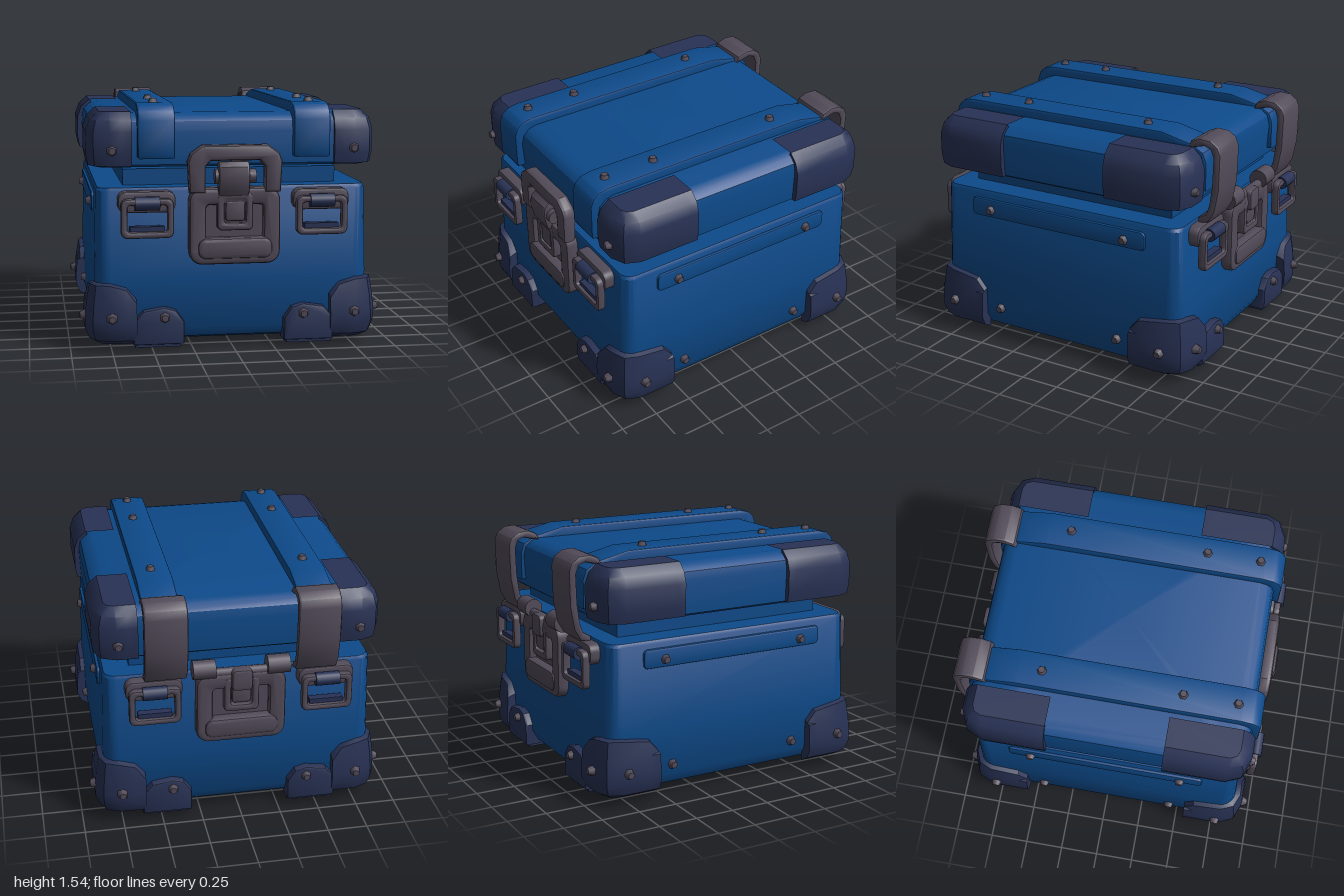
import * as THREE from 'three';
import { toCreasedNormals } from 'three/addons/utils/BufferGeometryUtils.js';

const paint = (name, color) => Object.assign(new THREE.MeshStandardMaterial({ color }), { name });

export function createModel() {
  const blue = paint('blue shell', 0x0d4a8a);
  const navy = paint('navy guards', 0x283255);
  const metal = paint('grey metal', 0x524b59);
  const model = new THREE.Group();
  model.name = 'strongbox';

  function add(name, geo, mat, x = 0, y = 0, z = 0, parent = model) {
    const m = new THREE.Mesh(geo, mat);
    m.name = name;
    m.position.set(x, y, z);
    parent.add(m);
    return m;
  }

  // Surface through a grid of points
  function grid(rows, flip) {
    const n = rows[0].length, index = [];
    for (let u = 0; u < rows.length - 1; u++) {
      for (let v = 0; v < n - 1; v++) {
        const a = u * n + v, b = a + 1, c = a + n, d = c + 1;
        index.push(...(flip ? [a, c, b, b, c, d] : [a, b, c, b, d, c]));
      }
    }
    const g = new THREE.BufferGeometry();
    g.setAttribute('position', new THREE.Float32BufferAttribute(rows.flat(2), 3));
    g.setIndex(index);
    return toCreasedNormals(g, 0.6);
  }

  // Stack of rounded rectangles [y, half width, half depth, corner radius], capped
  function loft(rings) {
    const rows = rings.map(([y, hx, hz, r]) => {
      const row = [];
      for (let q = 0; q < 4; q++) {
        const sx = q === 0 || q === 3 ? 1 : -1, sz = q < 2 ? 1 : -1;
        for (let k = 0; k <= 5; k++) {
          const a = (q + k / 5) * Math.PI / 2;
          row.push([sx * (hx - r) + r * Math.cos(a), y, sz * (hz - r) + r * Math.sin(a)]);
        }
      }
      row.push(row[0]);
      return row;
    });
    const cap = y => rows[0].map(() => [0, y, 0]);
    return grid([cap(rings[0][0]), ...rows, cap(rings.at(-1)[0])], true);
  }

  // Bevelled extrusion, centred on its depth
  function slab(shape, depth, bevel = 0.015) {
    const g = new THREE.ExtrudeGeometry(shape, {
      depth: depth - 2 * bevel, bevelEnabled: true, bevelThickness: bevel,
      bevelSize: bevel, bevelOffset: -bevel, bevelSegments: 2, curveSegments: 5,
    });
    g.translate(0, 0, -(depth - 2 * bevel) / 2);
    return toCreasedNormals(g, 0.6);
  }
  const poly = pts => new THREE.Shape(pts.map(p => new THREE.Vector2(...p)));
  // Side profile of [z, y] points, extruded along x
  const across = (pts, width, bevel) =>
    slab(poly(pts.map(([z, y]) => [-z, y])), width, bevel).rotateY(Math.PI / 2);

  function roundRect(w, h, r, Kind = THREE.Shape) {
    const s = new Kind(), x = w / 2 - r, y = h / 2 - r, q = Math.PI / 2;
    s.absarc(x, y, r, 0, q);
    s.absarc(-x, y, r, q, 2 * q);
    s.absarc(-x, -y, r, 2 * q, 3 * q);
    s.absarc(x, -y, r, 3 * q, 4 * q);
    s.closePath();
    return s;
  }
  function frame(w, h, r, t, depth, bevel) {
    const s = roundRect(w, h, r);
    s.holes.push(roundRect(w - 2 * t, h - 2 * t, Math.max(r - t, 0.02), THREE.Path));
    return slab(s, depth, bevel);
  }
  const bar = (r, len, sides = 14) => new THREE.CylinderGeometry(r, r, len, sides).rotateZ(Math.PI / 2);

  const up = new THREE.Vector3(0, 1, 0);
  const boltGeo = new THREE.CylinderGeometry(0.022, 0.037, 0.04, 6);
  function bolt(x, y, z, nx, ny, nz) {
    add('bolt', boltGeo, metal, x, y, z).quaternion.setFromUnitVectors(up, new THREE.Vector3(nx, ny, nz));
  }

  // Shell
  add('body', loft([
    [0.045, 0.74, 0.77, 0.08], [0.07, 0.81, 0.84, 0.1], [0.14, 0.85, 0.88, 0.1],
    [0.45, 0.85, 0.88, 0.1], [0.98, 0.836, 0.857, 0.08], [1.0, 0.825, 0.847, 0.08],
  ]), blue);
  add('innerRim', new THREE.BoxGeometry(1.33, 0.12, 1.44), blue, 0, 1.04, 0);
  add('lid', loft([
    [1.125, 0.83, 0.85, 0.08], [1.14, 0.852, 0.872, 0.08], [1.34, 0.86, 0.885, 0.08],
    [1.4, 0.848, 0.87, 0.08], [1.435, 0.81, 0.83, 0.07], [1.45, 0.76, 0.78, 0.06],
  ]), blue);

  // Corner guard: columns run round the corner, the profile runs over the edge
  function guard(name, X, Z, xi, zi, c, profile, endY, slope, sx, sz, flip) {
    const cols = [
      [xi, Z, 0, 1, 0.1, 0.09], [xi, Z, 0, 1, 0.1, 0], [xi + 0.06, Z, 0, 1, 0.03, 0],
      [X - c, Z, 0, 1, 0, 0], [X - 0.3 * c, Z - 0.3 * c, 0.7, 0.7, 0, 0], [X, Z - c, 1, 0, 0, 0],
      [X, zi + 0.06, 1, 0, 0.03, 0], [X, zi, 1, 0, 0.1, 0], [X, zi, 1, 0, 0.1, 0.09],
    ];
    const rows = cols.map(([x, z, nx, nz, drop, sink]) => {
      const row = profile.map(([y, off], i) => {
        const o = Math.max(off, sink);
        return [sx * (x - nx * o), i < 2 ? y - drop * slope : y, sz * (z - nz * o)];
      });
      row.push([sx * xi, endY, sz * zi]);
      return row;
    });
    add(name, grid(rows, (sx * sz < 0) !== flip), navy);
  }
  const lowProfile = [[0.43, 0.09], [0.41, 0.03], [0.3, 0.01], [0.2, 0], [0.13, 0], [0.07, 0.025], [0.04, 0.08]];
  const lidProfile = [[1.13, 0.08], [1.135, 0.012], [1.2, 0], [1.34, 0], [1.41, 0.025], [1.46, 0.08]];

  for (const sx of [-1, 1]) {
    for (const sz of [-1, 1]) {
      guard('lowerCornerGuard', 0.91, 0.945, 0.6, 0.55, 0.15, lowProfile, 0.04, 1, sx, sz, false);
      guard('lidCornerGuard', 0.89, 0.91, 0.62, 0.37, 0.14, lidProfile, 1.46, 0, sx, sz, true);
      bolt(sx * 0.75, 0.215, sz * 0.955, 0, 0, sz);
      bolt(sx * 0.92, 0.21, sz * 0.77, sx, 0, 0);
      bolt(sx * 0.43, 0.21, sz * 0.94, 0, 0, sz);
      bolt(sx * 0.86, 0.2, sz * 0.44, sx, 0, 0);
      bolt(sx * 0.862, 0.88, sz * 0.49, sx, 0, 0);
      bolt(sx * 0.74, 1.23, sz * 0.915, 0, 0, sz);
      bolt(sx * 0.48, 0.018, sz * 0.44, 0, -1, 0);
      // Upturned end of the bottom strap
      const tab = poly([[0.31, 0.04], [0.62, 0.04], [0.62, 0.18], [0.56, 0.25], [0.43, 0.27], [0.36, 0.25], [0.31, 0.18]]
        .map(([x, y]) => [sx * x, y]));
      add('bottomStrapEnd', slab(tab, 0.13), navy, 0, 0, sz * 0.865);
    }

    add('bottomStrap', new THREE.BoxGeometry(0.28, 0.05, 1.8), navy, sx * 0.47, 0.045, 0);
    add('sidePlate', slab(roundRect(1.27, 0.12, 0.03), 0.04, 0.01).rotateY(Math.PI / 2), blue, sx * 0.835, 0.89, 0);

    // Raised band over the lid
    add('lidBand', across([
      [0.84, 1.18], [0.92, 1.18], [0.93, 1.2], [0.93, 1.41], [0.91, 1.46], [0.87, 1.495], [0.8, 1.51],
      [-0.6, 1.51], [-0.8, 1.465], [-0.88, 1.42], [-0.905, 1.36], [-0.905, 1.18], [-0.84, 1.18],
      [-0.82, 1.36], [-0.74, 1.41], [0.74, 1.41], [0.84, 1.36],
    ], 0.225, 0.012), blue, sx * 0.475);
    for (const z of [-0.45, 0.43, 0.77]) bolt(sx * 0.48, 1.515, z, 0, 1, 0);

    // Curved rear hook joining lid and body
    add('rearHook', across([
      [-0.78, 1.44], [-0.8, 1.485], [-0.86, 1.51], [-0.93, 1.505], [-0.98, 1.47], [-1, 1.42], [-0.995, 1.2],
      [-0.97, 1.06], [-0.93, 0.99], [-0.86, 0.97], [-0.86, 1.01], [-0.91, 1.04], [-0.93, 1.1],
      [-0.945, 1.22], [-0.95, 1.4], [-0.93, 1.45], [-0.89, 1.465], [-0.83, 1.45],
    ], 0.265), metal, sx * 0.465);
  }

  // Square buckles and centre clasp, shared by front and back
  for (const [name, turn] of [['front', 0], ['rear', Math.PI]]) {
    const side = new THREE.Group();
    side.name = name + 'Hardware';
    side.rotation.y = turn;
    model.add(side);

    for (const sx of [-1, 1]) {
      const b = new THREE.Group();
      b.name = name + 'Buckle';
      b.position.x = sx * 0.535;
      side.add(b);
      add('bucklePlate', slab(roundRect(0.35, 0.13, 0.05), 0.09), metal, 0, 0.92, 0.88, b);
      add('buckleRing', frame(0.32, 0.24, 0.04, 0.04, 0.055), metal, 0, 0.825, 0.94, b);
      add('buckleLoop', bar(0.042, 0.15), navy, 0, 0.915, 0.945, b);
      add('buckleTongue', new THREE.BoxGeometry(0.21, 0.06, 0.05), navy, 0, 0.745, 0.92, b);
    }

    add('claspFrame', frame(0.56, 0.47, 0.08, 0.105, 0.09, 0.025), metal, 0, 0.765, 0.9, side);
    add('claspFoot', slab(roundRect(0.46, 0.13, 0.05), 0.09, 0.025), metal, 0, 0.63, 0.915, side);
    add('claspBack', new THREE.BoxGeometry(0.36, 0.26, 0.05), metal, 0, 0.79, 0.87, side);
    add('claspCatch', frame(0.22, 0.23, 0.03, 0.045, 0.06), metal, 0, 0.855, 0.92, side);
    add('claspTongue', slab(roundRect(0.12, 0.13, 0.02), 0.05), metal, 0, 0.86, 0.92, side);

    if (turn === 0) {
      // Upper loop gripping the lid
      const loop = poly([
        [-0.28, 0.97], [-0.29, 1.16], [-0.27, 1.21], [-0.2, 1.26], [0.2, 1.26], [0.27, 1.21], [0.29, 1.16], [0.28, 0.97],
        [0.18, 0.97], [0.18, 1.13], [0.15, 1.165], [-0.15, 1.165], [-0.18, 1.13], [-0.18, 0.97],
      ]);
      add('claspLoop', slab(loop, 0.09, 0.025), metal, 0, 0, 0.915, side);
      add('claspRoller', bar(0.045, 0.25), metal, 0, 1.07, 0.93, side);
      add('claspLever', across([
        [0.9, 1.16], [0.95, 1.16], [0.98, 1.13], [0.99, 1.07], [0.97, 0.98], [0.94, 0.94], [0.9, 0.94],
      ], 0.19), metal, -0.01, 0, 0, side);
    } else {
      // Hinge knuckles
      for (const x of [-0.23, 0.23]) add('hingeKnuckle', bar(0.06, 0.14), metal, x, 1.03, 0.91, side);
      add('hingePin', bar(0.03, 0.5), metal, 0, 1.0, 0.91, side);
      add('hingeLever', slab(roundRect(0.13, 0.14, 0.03), 0.08), metal, 0, 0.96, 0.93, side);
    }
  }
  return model;
}
